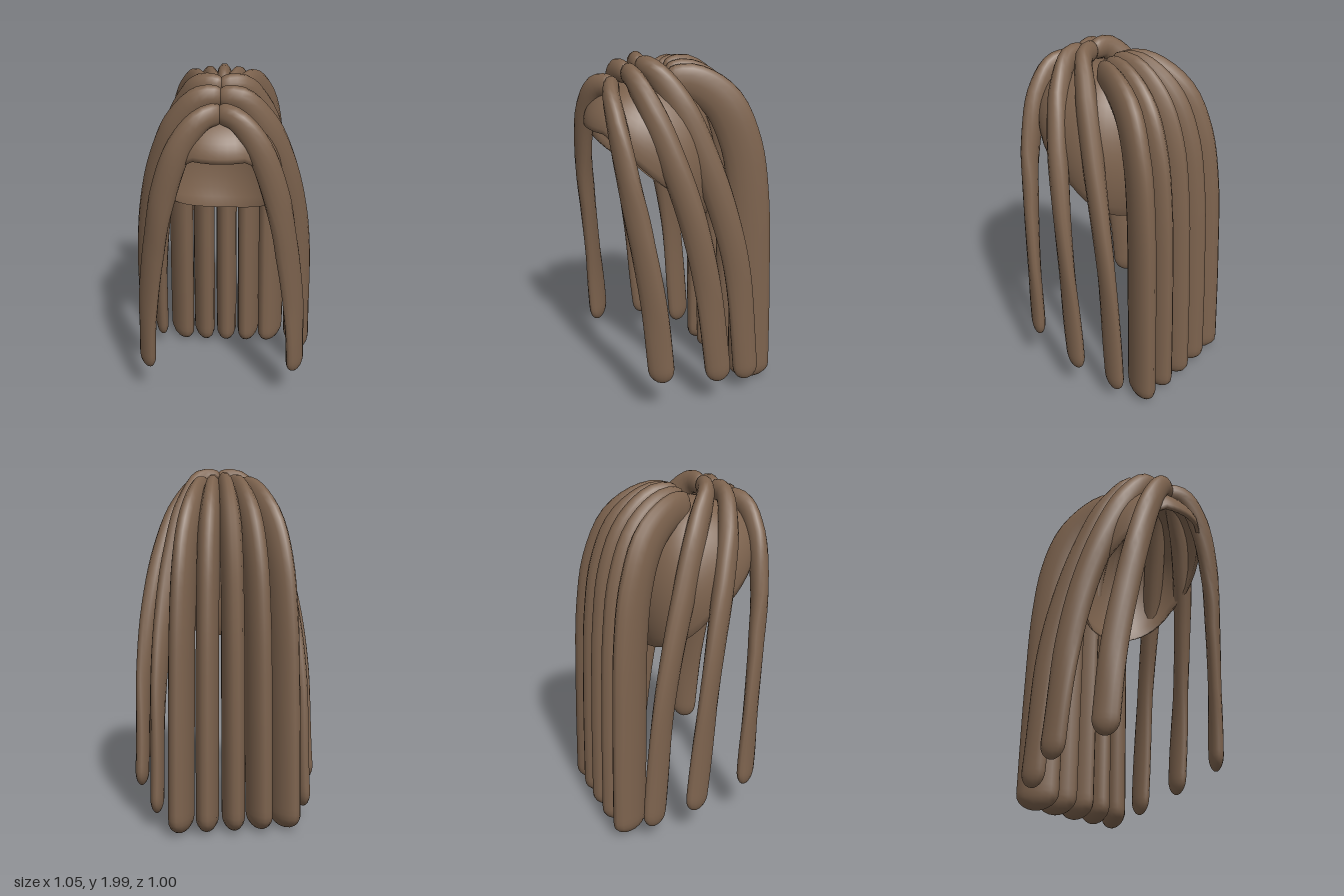
import * as THREE from 'three';

const SIDES = 14, RINGS = 44;
const hair = new THREE.MeshStandardMaterial({ color: 0x7d634e });
hair.name = 'brownHair';

// Joins closed rings of vertices into a smooth surface
function skin(rings, sides) {
  const pos = [], index = [];
  rings.forEach(ring => ring.forEach(p => pos.push(p.x, p.y, p.z)));
  for (let r = 0; r < rings.length - 1; r++) {
    for (let i = 0; i < sides; i++) {
      const j = (i + 1) % sides;
      const a = r * sides + i, b = r * sides + j;
      index.push(a, b, a + sides, b, b + sides, a + sides);
    }
  }
  const g = new THREE.BufferGeometry();
  g.setAttribute('position', new THREE.Float32BufferAttribute(pos, 3));
  g.setIndex(index);
  g.computeVertexNormals();
  return g;
}

// Lock of hair: oval section swept along a path, rounded at both ends.
// sizes = [half thickness, half depth] at the root, crown and tip
function lock(name, points, sizes, mirror = 1) {
  const curve = new THREE.CatmullRomCurve3(
    points.map(([x, y, z]) => new THREE.Vector3(x * mirror, y, z)));
  curve.arcLengthDivisions = 400;
  const length = curve.getLength(), rings = [];
  const [root, crown, tip] = sizes;
  for (let r = 0; r <= RINGS; r++) {
    const u = (1 - Math.cos(Math.PI * r / RINGS)) / 2;
    const c = curve.getPointAt(u), t = curve.getTangentAt(u);
    const across = new THREE.Vector3(-t.z, 0, t.x).normalize();
    const out = new THREE.Vector3().crossVectors(t, across);
    const end = Math.min(1, u * length / 0.06, (1 - u) * length / 0.09);
    const round = Math.max(0.001, Math.sqrt(1 - (1 - end) ** 2));
    const grow = THREE.MathUtils.smoothstep(u, 0, 0.22);
    const fall = THREE.MathUtils.smoothstep(u, 0.22, 0.8);
    const size = i => round * (root[i] + (crown[i] - root[i]) * grow + (tip[i] - crown[i]) * fall);
    const ring = [];
    for (let i = 0; i < SIDES; i++) {
      const a = i / SIDES * Math.PI * 2;
      ring.push(c.clone().addScaledVector(across, Math.cos(a) * size(0))
        .addScaledVector(out, Math.sin(a) * size(1)));
    }
    rings.push(ring);
  }
  const mesh = new THREE.Mesh(skin(rings, SIDES), hair);
  mesh.name = name;
  return mesh;
}

// Cap: thick dome whose rim drops from the brow to the nape and curls in behind
function cap() {
  const sides = 48, rows = 16, rings = [];
  const layer = (t, inset) => {
    const ring = [];
    for (let i = 0; i < sides; i++) {
      const a = -i / sides * Math.PI * 2, c = Math.cos(a), s = Math.sin(a);
      const rimY = Math.min(1.63, 1.27 + 0.3 * c + 0.1 * c * c);
      const end = Math.PI / 2 + 0.6 * (1 - c) / 2, phi = t * end;
      const rise = (Math.cos(phi) - Math.cos(end)) / (1 - Math.cos(end));
      const r = Math.sin(phi) * (1 - inset);
      const z = c > 0 ? 0.42 * c ** 0.85 : 0.31 * c;
      ring.push(new THREE.Vector3(0.345 * s * r,
        rimY + (1.88 - rimY) * rise * (1 - inset), 0.08 + z * r));
    }
    return ring;
  };
  for (let k = 0; k <= rows; k++) rings.push(layer(Math.max(0.001, k / rows), 0));
  for (let k = rows; k >= 0; k--) rings.push(layer(Math.max(0.001, k / rows), 0.05));
  const mesh = new THREE.Mesh(skin(rings, sides), hair);
  mesh.name = 'cap';
  return mesh;
}

export function createModel() {
  const model = new THREE.Group();
  model.name = 'longHair';
  model.add(cap());

  // Side locks parted at the centre, mirrored left and right
  const sideLocks = {
    frontLock: [[-0.02, 1.85, 0.345], [0.09, 1.83, 0.405], [0.2, 1.69, 0.425], [0.3, 1.4, 0.41],
      [0.36, 1.08, 0.37], [0.41, 0.7, 0.325], [0.435, 0.24, 0.29]],
    middleLock: [[-0.02, 1.9, 0.265], [0.1, 1.9, 0.28], [0.22, 1.76, 0.245], [0.33, 1.5, 0.175],
      [0.41, 1.18, 0.095], [0.46, 0.8, 0.025], [0.485, 0.18, -0.05]],
    rearLock: [[-0.02, 1.93, 0.195], [0.1, 1.93, 0.17], [0.2, 1.78, 0.08], [0.3, 1.45, -0.045],
      [0.36, 1.13, -0.14], [0.395, 0.8, -0.21], [0.415, 0.09, -0.28]],
  };
  const crowns = { frontLock: [0.052, 0.072], middleLock: [0.06, 0.08], rearLock: [0.06, 0.085] };
  for (const [name, points] of Object.entries(sideLocks)) {
    const sizes = [[0.043, 0.06], crowns[name], [0.038, 0.075]];
    model.add(lock(name + 'Left', points, sizes, 1));
    model.add(lock(name + 'Right', points, sizes, -1));
  }

  // Five deep locks fanning down the back
  const backPath = [[1.86, 0.05], [1.875, -0.07], [1.765, -0.2], [1.53, -0.3],
    [1.2, -0.345], [0.7, -0.365], [0.01, -0.38]];
  for (let k = -2; k <= 2; k++) {
    const n = Math.abs(k);
    const points = backPath.map(([y, z], i) => [
      k * (0.04 + (0.05 - z) / 0.43 * 0.105),
      y - (i < 4 ? 0.012 * n : 0), z + (i < 2 ? 0.012 * n : 0)]);
    model.add(lock('backLock' + (k + 3), points, [[0.042, 0.095], [0.062, 0.118], [0.064, 0.124]]));
  }
  return model;
}
